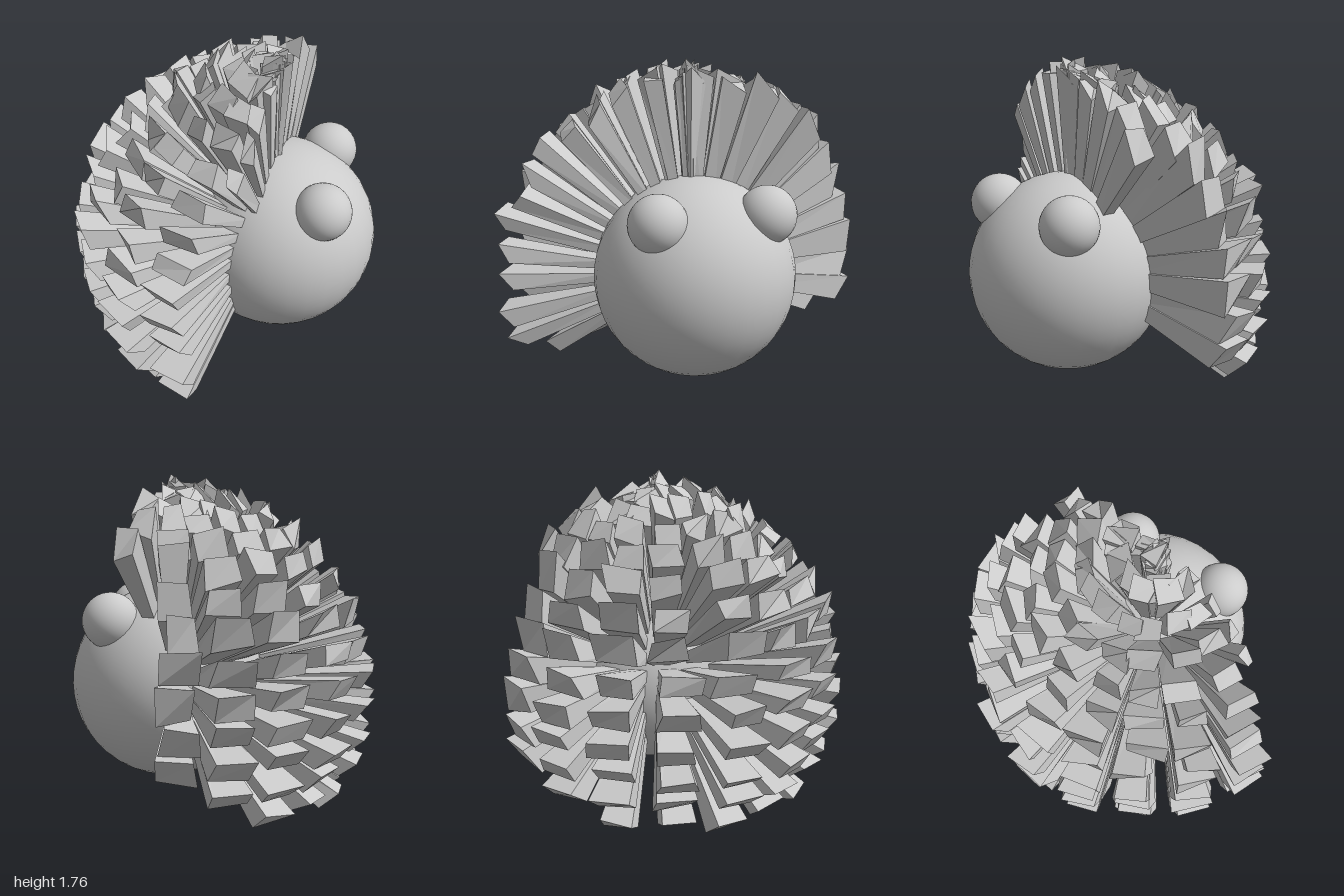
import * as THREE from 'three';
import { mergeGeometries } from 'three/addons/utils/BufferGeometryUtils.js';

const HUB = new THREE.Vector3(0.27, 0.65, 0.01); // point the spikes radiate from
const RAD = Math.PI / 180;

// small seeded generator, returns -1..1
let seed = 7;
function jitter() {
  seed = (seed * 16807) % 2147483647;
  return (seed / 2147483647) * 2 - 1;
}

// one tapered block pointing outwards, with a slanted uneven tip
function spike(azimuth, elevation, reach, width, thickness) {
  const a = azimuth * RAD, e = elevation * RAD;
  const out = new THREE.Vector3(-Math.cos(e) * Math.cos(a), Math.sin(e), Math.cos(e) * Math.sin(a));
  const up = new THREE.Vector3(Math.sin(e) * Math.cos(a), Math.cos(e), -Math.sin(e) * Math.sin(a));
  const side = new THREE.Vector3().crossVectors(up, out);
  const rough = elevation > 8 ? 0.045 : 0.02;

  const geo = new THREE.BoxGeometry(2, 2, 1);
  const p = geo.attributes.position;
  const corners = {};
  for (let i = 0; i < p.count; i++) {
    const x = p.getX(i), y = p.getY(i), z = p.getZ(i);
    if (z < 0) {
      p.setXYZ(i, x * width * 0.45, y * thickness * 0.5, 0.44);
    } else {
      const key = x + ',' + y;
      corners[key] ??= [jitter() * 0.02, jitter() * 0.015, jitter() * rough];
      const [jx, jy, jz] = corners[key];
      p.setXYZ(i, x * width + jx, y * thickness + jy, reach + y * 0.03 + jz);
    }
  }
  geo.applyMatrix4(new THREE.Matrix4().makeBasis(side, up, out));
  geo.translate(HUB.x, HUB.y, HUB.z);
  geo.computeVertexNormals();
  return geo;
}

// columns round the back: [azimuth, lowest row, width factor, half thickness]
const COLUMNS = [
  [-97, 9, 0.8, 0.07],
  [-77, 2, 0.85, 0.08],
  [-63, 1, 1, 0.06],
  [-45, 0, 1, 0.055],
  [-26, 0, 1, 0.052],
  [-8, 0, 1, 0.052],
  [10, 0, 1, 0.052],
  [27, 0, 1, 0.052],
  [45, 0, 1, 0.05],
  [64, 1, 1, 0.046],
  [78, 9, 0.4, 0.046],
];
const ROWS = 14;

export function createModel() {
  const model = new THREE.Group();
  const grey = new THREE.MeshStandardMaterial({ color: 0xcccccc });
  const faceted = new THREE.MeshStandardMaterial({ color: 0xcccccc, flatShading: true });

  // round body
  const body = new THREE.Mesh(new THREE.SphereGeometry(0.527, 32, 24), grey);
  body.name = 'body';
  body.position.set(0.302, 0.65, 0);
  model.add(body);

  // bulging eyes
  for (const [name, z] of [['leftEye', -0.3], ['rightEye', 0.27]]) {
    const eye = new THREE.Mesh(new THREE.SphereGeometry(0.15, 32, 20), grey);
    eye.name = name;
    eye.position.set(0.542, 1.015, z);
    model.add(eye);
  }

  // mane of spikes in columns fanning round the back
  const mane = new THREE.Group();
  mane.name = 'spikes';
  COLUMNS.forEach(([azimuth, lowest, broad, thickness], i) => {
    const parts = [];
    for (let row = lowest; row < ROWS; row++) {
      const e = -33 + row * 9.3;
      const level = Math.abs(Math.cos(e * RAD));
      const sideways = level * Math.abs(Math.sin(azimuth * RAD));
      const reach = 1.04 + 0.035 * level - 0.08 * sideways;
      const width = (0.04 + 0.06 * level) * broad;
      const wander = row > 4 ? 2.5 : 1;
      parts.push(spike(azimuth + jitter() * wander, e + jitter(), reach + jitter() * 0.02, width, thickness));
    }
    const column = new THREE.Mesh(mergeGeometries(parts), faceted);
    column.name = 'spikeColumn' + (i + 1);
    mane.add(column);
  });
  model.add(mane);

  return model;
}
